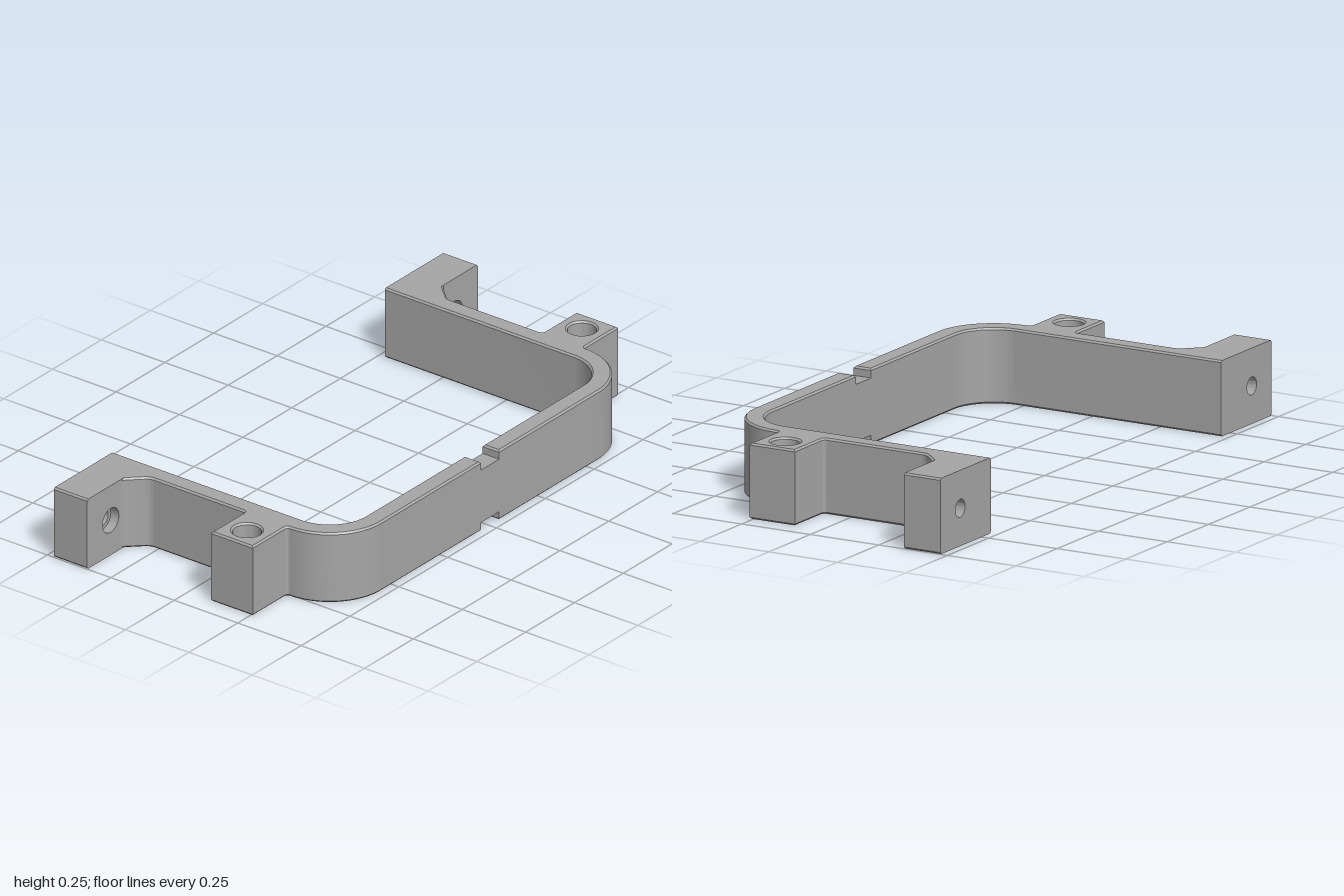
import * as THREE from 'three';
import { toCreasedNormals } from 'three/addons/utils/BufferGeometryUtils.js';

const H = 0.245;      // height of the bracket
const BEVEL = 0.006;  // small chamfer on top and bottom edges
const NOTCH = 0.046;  // half width of the notches in the cross bar

function circle(x, y, r) {
  return new THREE.Path().absarc(x, y, r, 0, Math.PI * 2, false);
}

// Plan of one half (x, z): cross bar, rounded corner, arm and drilled lug
function halfPlan(side) {
  const s = new THREE.Shape();
  s.moveTo(0.41, NOTCH);
  s.lineTo(0.475, NOTCH);
  s.lineTo(0.475, 0.555);
  s.absarc(0.27, 0.555, 0.205, 0, Math.PI / 2, false);
  s.quadraticCurveTo(0.26, 0.76, 0.26, 0.772);
  s.lineTo(0.26, 0.935);
  s.lineTo(0.095, 0.935);
  s.lineTo(0.095, 0.772);
  s.quadraticCurveTo(0.095, 0.76, 0.083, 0.76);
  s.lineTo(-0.262, 0.76);
  s.quadraticCurveTo(-0.28, 0.76, -0.292, 0.772);
  s.lineTo(-0.332, 0.81);
  s.quadraticCurveTo(-0.343, 0.82, -0.343, 0.828);
  s.lineTo(-0.36, 0.828);
  s.lineTo(-0.36, 0.695);
  s.lineTo(0.27, 0.695);
  s.absarc(0.27, 0.555, 0.14, Math.PI / 2, 0, true);
  const shape = new THREE.Shape(s.getPoints(16).map(p => new THREE.Vector2(p.x, p.y * side)));
  shape.holes.push(circle(0.177, 0.857 * side, 0.046));
  return shape;
}

// Slice of an end block, extruded along x, with a round hole through it
function blockSlice(side, x0, x1, radius) {
  const a = 0.695, b = 1, c = BEVEL;
  const outline = [[a + c, 0], [b - c, 0], [b, c], [b, H - c], [b - c, H], [a + c, H], [a, H - c], [a, c]];
  const shape = new THREE.Shape(outline.map(([z, y]) => new THREE.Vector2(-z * side, y)));
  shape.holes.push(circle(-0.88 * side, H / 2, radius));
  const geo = new THREE.ExtrudeGeometry(shape, { depth: x1 - x0, bevelEnabled: false, curveSegments: 16 });
  geo.rotateY(Math.PI / 2).translate(x0, 0, 0);
  return toCreasedNormals(geo, 0.5);
}

export function createModel() {
  const model = new THREE.Group();
  model.name = 'bracket';
  const grey = new THREE.MeshStandardMaterial({ color: 0xa6a6a6 });
  grey.name = 'grey';

  function add(name, geo) {
    const mesh = new THREE.Mesh(geo, grey);
    mesh.name = name;
    model.add(mesh);
    return mesh;
  }

  for (const side of [1, -1]) {
    const label = side > 0 ? 'front' : 'back';

    // Arm, corner and half of the cross bar
    const arm = new THREE.ExtrudeGeometry(halfPlan(side), {
      depth: H - 2 * BEVEL, curveSegments: 16,
      bevelSize: BEVEL, bevelThickness: BEVEL, bevelOffset: -BEVEL, bevelSegments: 1,
    });
    arm.rotateX(Math.PI / 2).translate(0, H - BEVEL, 0);
    add(label + 'Arm', toCreasedNormals(arm, 0.5));

    // End block with a counterbored hole
    add(label + 'EndBlock', blockSlice(side, -0.475, -0.375, 0.029));
    add(label + 'EndBlockCounterbore', blockSlice(side, -0.375, -0.343, 0.042));
  }

  // Thinner bridge between the top and bottom notches
  const bridge = add('notchBridge', new THREE.BoxGeometry(0.065, 0.185, NOTCH * 2 + 0.01));
  bridge.position.set(0.4425, H / 2, 0);

  return model;
}
